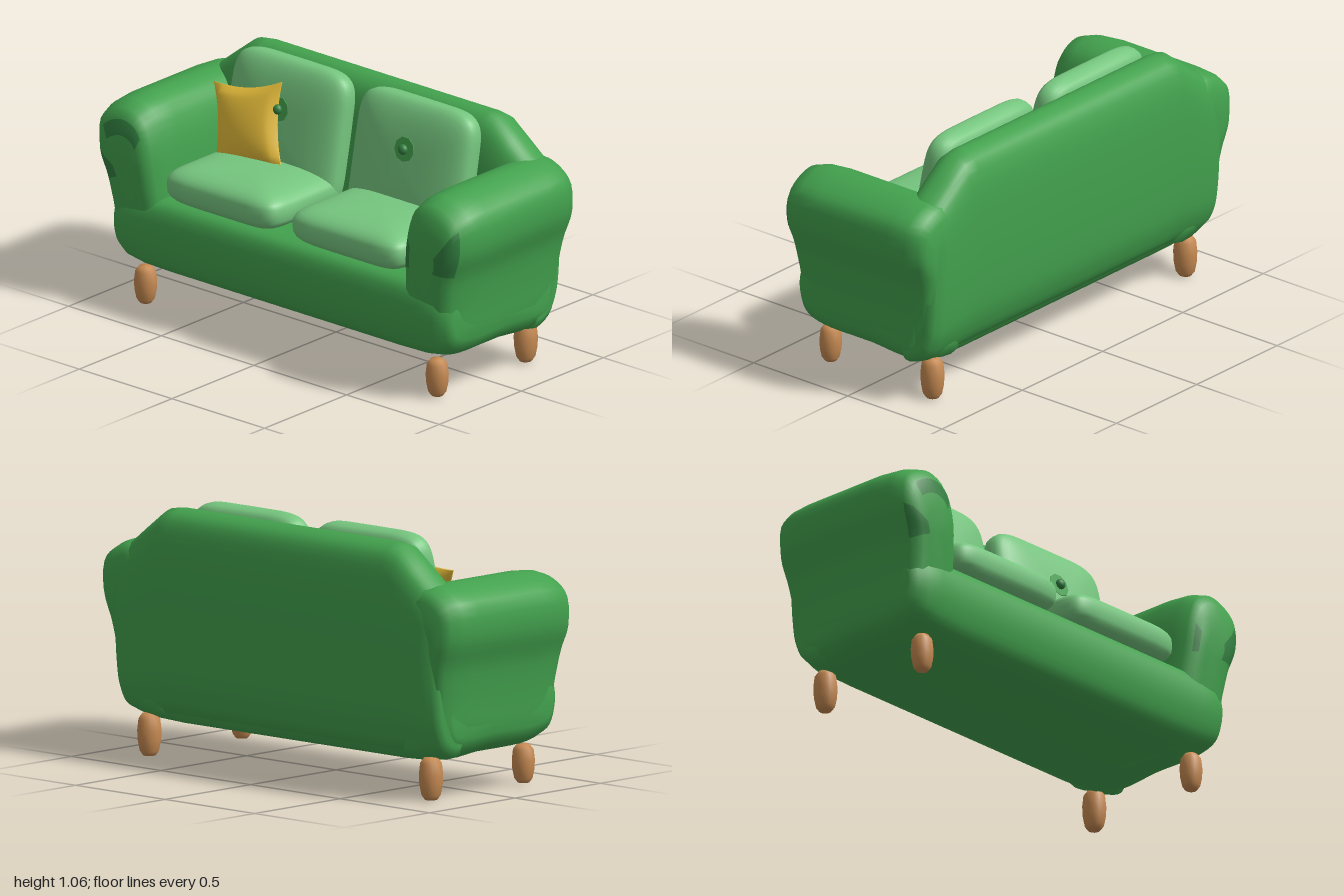
import * as THREE from 'three';

const mat = (name, color) => {
  const m = new THREE.MeshStandardMaterial({ color });
  m.name = name;
  return m;
};

// Smooth closed ring of n 2D points through a few control points
function smoothRing(points, n = 44) {
  const curve = new THREE.CatmullRomCurve3(points.map(([a, b]) => new THREE.Vector3(a, b, 0)), true, 'centripetal');
  return curve.getPoints(n).slice(0, n).map((p) => [p.x, p.y]);
}

// Skin a list of 3D rings and cap both ends; paint(i, j) picks a material slot per quad
function loft(rings, paint = () => 0) {
  const n = rings[0].length;
  const pos = rings.flat(2);
  const faces = [[], []];
  for (let i = 0; i < rings.length - 1; i++) {
    for (let j = 0; j < n; j++) {
      const k = (j + 1) % n;
      const a = i * n + j, b = i * n + k, c = a + n, d = b + n;
      faces[paint(i, j)].push(a, b, d, a, d, c);
    }
  }
  [0, rings.length - 1].forEach((i) => {
    const centre = [0, 1, 2].map((c) => rings[i].reduce((s, p) => s + p[c], 0) / n);
    const id = pos.length / 3;
    pos.push(...centre);
    for (let j = 0; j < n; j++) {
      const a = i * n + j, b = i * n + ((j + 1) % n);
      faces[0].push(...(i ? [id, a, b] : [id, b, a]));
    }
  });
  // Turn faces outward when the enclosed volume is negative
  const v = (i) => new THREE.Vector3().fromArray(pos, i * 3);
  const index = faces.flat();
  let volume = 0;
  for (let t = 0; t < index.length; t += 3) volume += v(index[t]).dot(v(index[t + 1]).cross(v(index[t + 2])));
  if (volume < 0) for (let t = 0; t < index.length; t += 3) [index[t], index[t + 1]] = [index[t + 1], index[t]];

  const g = new THREE.BufferGeometry();
  g.setAttribute('position', new THREE.Float32BufferAttribute(pos, 3));
  g.setIndex(index);
  g.addGroup(0, faces[0].length, 0);
  if (faces[1].length) g.addGroup(faces[0].length, faces[1].length, 1);
  g.computeVertexNormals();
  return g;
}

// Puffy rounded block: half sizes w, h and half thickness d along z
function cushionGeometry(w, h, d, puff, corner) {
  const pow = (t, e) => Math.sign(t) * Math.abs(t) ** e;
  const rings = [];
  for (let i = 0; i <= 18; i++) {
    const v = THREE.MathUtils.degToRad(-87 + (174 * i) / 18);
    const s = pow(Math.cos(v), puff);
    rings.push(Array.from({ length: 56 }, (_, j) => {
      const u = (j / 56) * Math.PI * 2;
      return [w * s * pow(Math.cos(u), corner), h * s * pow(Math.sin(u), corner), d * pow(Math.sin(v), puff)];
    }));
  }
  return loft(rings);
}

// Sections given for +x, repeated on the -x side
const mirrored = (ends) => [...ends.map(([x, ...r]) => [-x, ...r]).reverse(), ...ends];

export function createModel() {
  const model = new THREE.Group();
  model.name = 'sofa';
  const green = mat('upholstery green', 0x43a24e);
  const light = mat('cushion light green', 0x76c67f);
  const dark = mat('patch dark green', 0x328040);
  const wood = mat('leg wood', 0xc68a52);
  const yellow = mat('pillow yellow', 0xe4bb39);

  const add = (parent, name, geometry, material, x = 0, y = 0, z = 0) => {
    const mesh = new THREE.Mesh(geometry, material);
    mesh.name = name;
    mesh.position.set(x, y, z);
    parent.add(mesh);
    return mesh;
  };

  // Seat base: (z, y) profile swept across x, running under both arms
  const baseRing = smoothRing([[-0.28, 0.17], [0, 0.165], [0.23, 0.167], [0.325, 0.205], [0.362, 0.3],
    [0.364, 0.41], [0.335, 0.48], [0.26, 0.5], [0, 0.5], [-0.28, 0.5]]);
  const baseSections = mirrored([[0.3, 1, 1], [0.62, 1, 1], [0.76, 0.97, 1.01], [0.84, 0.9, 1], [0.89, 0.75, 0.95], [0.915, 0.5, 0.86]]);
  add(model, 'seatBase', loft(baseSections.map(([x, sy, sz]) =>
    baseRing.map(([z, y]) => [x, 0.36 + (y - 0.36) * sy, z * sz]))), green);

  // Backrest: (z, y) profile whose top slopes down to the arms at both ends
  const backRing = smoothRing([[-0.2, 0.165], [-0.3, 0.2], [-0.35, 0.3], [-0.37, 0.42], [-0.382, 0.7],
    [-0.372, 0.92], [-0.335, 1.01], [-0.255, 1.037], [-0.2, 1.005], [-0.165, 0.92], [-0.14, 0.75], [-0.12, 0.4]]);
  const backSections = mirrored([[0.6, 1, 1], [0.66, 0.99, 1], [0.75, 0.91, 1], [0.83, 0.835, 0.99], [0.88, 0.78, 0.92], [0.905, 0.68, 0.7]]);
  add(model, 'backrest', loft(backSections.map(([x, f, s]) => backRing.map(([z, y]) => [
    x, 0.165 + (y - 0.165) * f + (1 - s) * 0.2, -0.25 + (z + 0.25) * s,
  ]))), green);

  // Arms: rolled (x, y) profile swept along z, drawn in below the roll, with worn patches at the front
  const armRing = smoothRing([[0.66, 0.17], [0.84, 0.183], [0.9, 0.24], [0.925, 0.4], [0.95, 0.55],
    [0.995, 0.68], [0.985, 0.81], [0.91, 0.87], [0.82, 0.89], [0.73, 0.85], [0.68, 0.74], [0.655, 0.55], [0.64, 0.35]]);
  const armSections = [[0.385, 0.3, 0.3], [0.382, 0.55, 0.55], [0.37, 0.73, 0.76], [0.343, 0.87, 0.9], [0.28, 0.96, 0.97],
    [0.18, 1, 1], [-0.2, 1, 1], [-0.29, 0.96, 0.985], [-0.345, 0.86, 0.94], [-0.37, 0.7, 0.8], [-0.376, 0.45, 0.5]];
  const within = (t, a, b) => t > a && t < b;
  for (const side of [1, -1]) {
    const paint = (i, j) => {
      const [x, y] = armRing[j];
      const outer = x > 0.9, lowBand = within(y, 0.5, 0.68), midBand = within(y, 0.54, 0.77);
      if (i > 2) return 0;
      if (side > 0) return (outer && midBand) || (i === 1 && x < 0.72 && within(y, 0.6, 0.76)) ? 1 : 0;
      return (outer && lowBand) || (i === 1 && y > 0.81) ? 1 : 0;
    };
    const rings = armSections.map(([z, sx, sy]) => armRing.map(([px, py]) => {
      const y = 0.58 + (py - 0.58) * sy;
      const tuck = 1 - 0.1 * THREE.MathUtils.smoothstep(0.68 - y, 0, 0.4);
      return [side * (0.81 + (px - 0.81) * sx), y, z * tuck];
    }));
    add(model, side > 0 ? 'leftArm' : 'rightArm', loft(rings, paint), [green, dark]);
  }

  // Seat and back cushions with a button on each back cushion
  const seatGeometry = cushionGeometry(0.305, 0.245, 0.093, 0.68, 0.28).rotateX(-Math.PI / 2);
  const backGeometry = cushionGeometry(0.307, 0.29, 0.081, 0.65, 0.32);
  for (const x of [0.337, -0.342]) {
    add(model, 'seatCushion', seatGeometry, light, x, 0.573, 0.11);
    const group = new THREE.Group();
    group.name = 'backCushionGroup';
    group.position.set(x, 0.77, -0.098);
    group.rotation.x = -0.2;
    model.add(group);
    add(group, 'backCushion', backGeometry, light);
    add(group, 'buttonPatch', new THREE.CylinderGeometry(0.052, 0.052, 0.006, 9).rotateX(Math.PI / 2), green, 0, 0.083, 0.0795);
    add(group, 'button', new THREE.SphereGeometry(0.022, 16, 12).scale(1, 1, 0.8), dark, 0, 0.083, 0.09);
  }

  // Throw pillow: square with pinched sides and a soft bulge
  const pillow = new THREE.BoxGeometry(2, 2, 2, 14, 14, 1);
  const p = pillow.attributes.position;
  for (let i = 0; i < p.count; i++) {
    const u = p.getX(i), v = p.getY(i);
    const bulge = Math.sqrt(Math.max(0, (1 - u * u) * (1 - v * v)));
    p.setXYZ(i, 0.178 * u * (1 - 0.14 * (1 - v * v)), 0.178 * v * (1 - 0.14 * (1 - u * u)),
      Math.sign(p.getZ(i)) * (0.003 + 0.055 * bulge));
  }
  pillow.computeVertexNormals();
  const throwPillow = add(model, 'throwPillow', pillow, yellow, -0.475, 0.773, 0);
  throwPillow.rotation.set(-0.27, 0, 0.23);

  // Stubby rounded legs
  const legProfile = [[0, 0], [0.025, 0.002], [0.038, 0.02], [0.046, 0.06], [0.048, 0.1], [0.043, 0.145], [0.028, 0.166], [0, 0.17]];
  const leg = new THREE.LatheGeometry(legProfile.map(([r, y]) => new THREE.Vector2(r, y)), 14);
  for (const x of [0.787, -0.787]) {
    add(model, 'frontLeg', leg, wood, x, 0.006, 0.272).scale.set(1, 0.95, 0.95);
    add(model, 'backLeg', leg, wood, x, 0, -0.268).scale.set(1, 1.05, 1.07);
  }
  return model;
}
